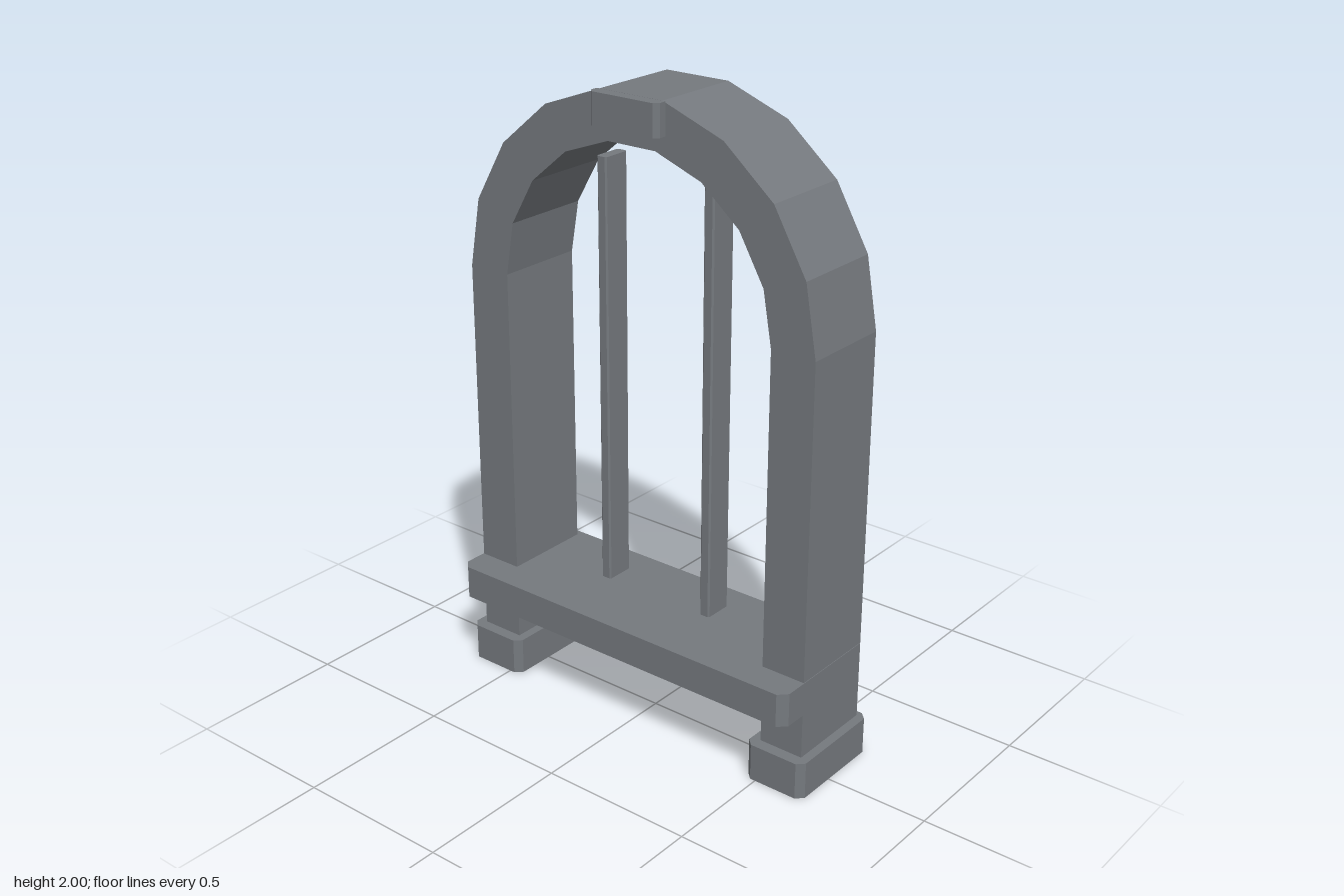
import * as THREE from 'three';

const material = new THREE.MeshStandardMaterial({ color: 0x75797e, flatShading: true });

// Box with chamfered vertical edges, given by its limits; backChamfer can be 0
function chamferedBlock(name, [x0, x1], [y0, y1], [z0, z1], c, backChamfer = c) {
  const b = backChamfer;
  const pts = [[x0 + c, z1], [x1 - c, z1], [x1, z1 - c]];
  if (b > 0) pts.push([x1, z0 + b], [x1 - b, z0], [x0 + b, z0], [x0, z0 + b]);
  else pts.push([x1, z0], [x0, z0]);
  pts.push([x0, z1 - c]);
  const shape = new THREE.Shape(pts.map(([x, z]) => new THREE.Vector2(x, -z)));
  const geo = new THREE.ExtrudeGeometry(shape, { depth: y1 - y0, bevelEnabled: false });
  geo.rotateX(-Math.PI / 2);
  geo.translate(0, y0, 0);
  const mesh = new THREE.Mesh(geo, material);
  mesh.name = name;
  return mesh;
}

// Points of a nine-sided half circle, from +x over the top to -x
function archPoints(radius, centreY, segments = 9) {
  return Array.from({ length: segments + 1 }, (_, i) => {
    const a = (i / segments) * Math.PI;
    return new THREE.Vector2(radius * Math.cos(a), centreY + radius * Math.sin(a));
  });
}

// Upright legs and round arch in one outline
function archFrame() {
  const outer = 0.637, inner = 0.49, springY = 1.373;
  const shape = new THREE.Shape([
    new THREE.Vector2(outer, 0.01),
    ...archPoints(outer, springY),
    new THREE.Vector2(-outer, 0.01),
    new THREE.Vector2(-inner, 0.01),
    ...archPoints(inner, springY).reverse(),
    new THREE.Vector2(inner, 0.01),
  ]);
  const geo = new THREE.ExtrudeGeometry(shape, { depth: 0.296, bevelEnabled: false });
  geo.translate(0, 0, -0.188);
  const mesh = new THREE.Mesh(geo, material);
  mesh.name = 'archFrame';
  return mesh;
}

export function createModel() {
  const model = new THREE.Group();
  model.name = 'archedWindow';

  model.add(archFrame());

  // Sill passing through both legs
  model.add(chamferedBlock('sill', [-0.639, 0.639], [0.267, 0.375], [-0.21, 0.209], 0.027));

  // Keystone on the front of the arch, flush with its top
  model.add(chamferedBlock('keystone', [-0.124, 0.121], [1.903, 2.0], [0.108, 0.146], 0.014, 0));

  // Feet and slim bars, one on each side
  for (const [side, label] of [[1, 'left'], [-1, 'right']]) {
    const footX = side * 0.563;
    model.add(chamferedBlock(label + 'Foot', [footX - 0.103, footX + 0.103], [0, 0.12], [-0.207, 0.146], 0.022));
    const barX = side * 0.196;
    model.add(chamferedBlock(label + 'Bar', [barX - 0.018, barX + 0.018], [0.395, 1.77], [-0.088, 0.008], 0.005));
  }
  return model;
}
